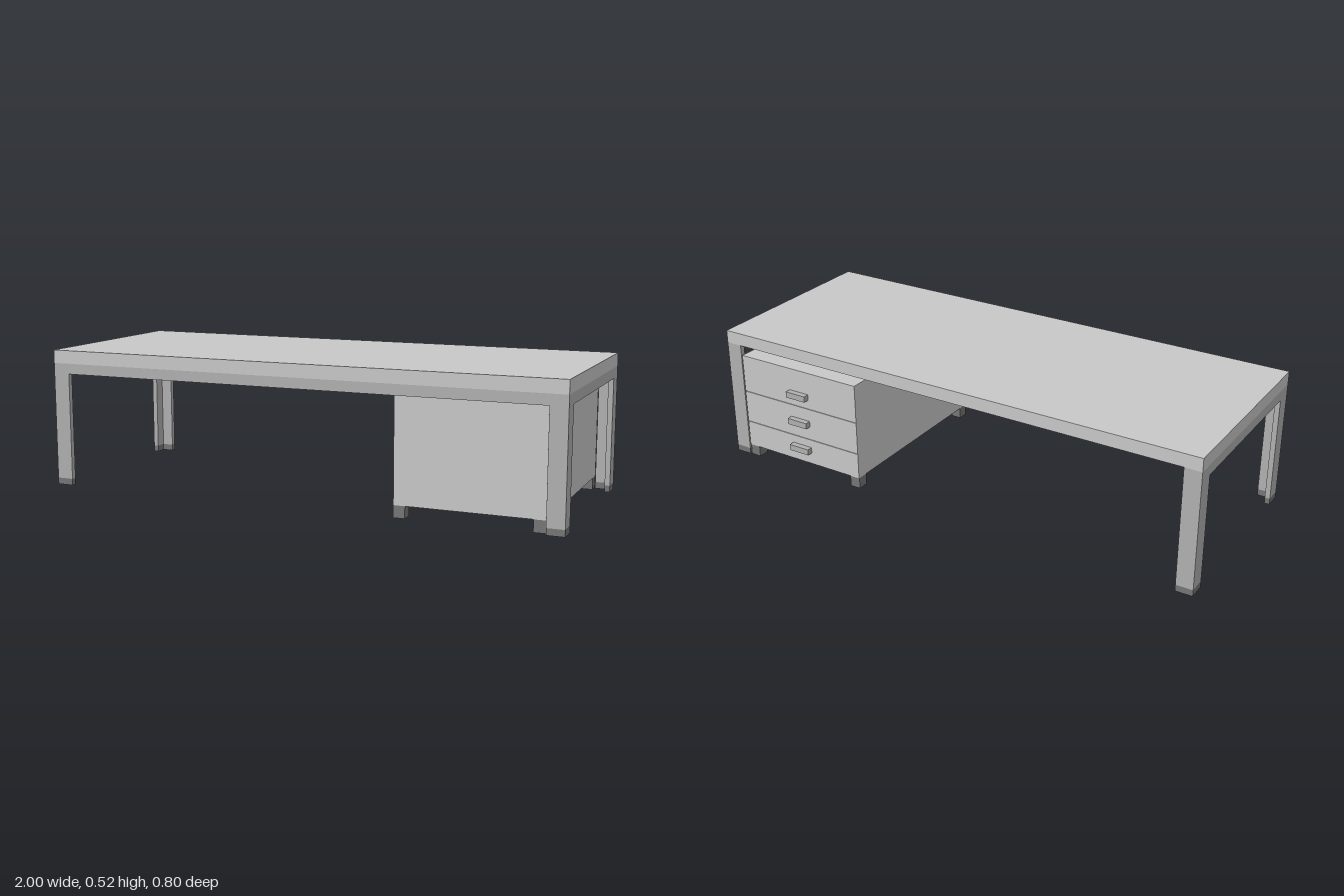
import * as THREE from 'three';

const mat = (name, color) => {
  const m = new THREE.MeshStandardMaterial({ color });
  m.name = name;
  return m;
};

// Desk outline
const X = 1, ZF = 0.4, ZB = -0.375, LEG = 0.065, T = 0.02;

export function createModel() {
  const desk = new THREE.Group();
  desk.name = 'desk';
  const light = mat('lightGrey', 0xc8c8c8);
  const frame = mat('frameGrey', 0xb0b0b0);
  const dark = mat('darkGrey', 0x757575);

  // Box given by its minimum and maximum corners
  function box(name, material, [x0, y0, z0], [x1, y1, z1], parent = desk) {
    const mesh = new THREE.Mesh(new THREE.BoxGeometry(x1 - x0, y1 - y0, z1 - z0), material);
    mesh.position.set((x0 + x1) / 2, (y0 + y1) / 2, (z0 + z1) / 2);
    mesh.name = name;
    parent.add(mesh);
    return mesh;
  }

  // Upright L-shaped angle with its outer corner at (x, z), opening inwards
  function angle(name, material, x, z, y0, y1) {
    const sx = -Math.sign(x), sz = -Math.sign(z);
    const outline = [[0, 0], [LEG, 0], [LEG, T], [T, T], [T, LEG], [0, LEG]]
      .map(([a, b]) => new THREE.Vector2(x + sx * a, -(z + sz * b)));
    const geo = new THREE.ExtrudeGeometry(new THREE.Shape(outline), { depth: y1 - y0, bevelEnabled: false });
    geo.rotateX(-Math.PI / 2);
    geo.translate(0, y0, 0);
    const mesh = new THREE.Mesh(geo, material);
    mesh.name = name;
    desk.add(mesh);
  }

  // Worktop
  box('worktop', light, [-X, 0.475, ZB], [X, 0.525, ZF]);

  // Angle legs with dark feet
  for (const x of [-X, X]) {
    for (const z of [ZB, ZF]) {
      angle('leg', frame, x, z, 0.025, 0.475);
      angle('legFoot', dark, x, z, 0, 0.025);
    }
  }

  // Aprons on the front and both sides; the back stays open
  box('frontApron', frame, [-X + LEG, 0.435, ZF - T], [X - LEG, 0.475, ZF]);
  for (const s of [-1, 1]) {
    const a = s * X, b = s * (X - T);
    box('sideApron', frame, [Math.min(a, b), 0.435, ZB + LEG], [Math.max(a, b), 0.475, ZF - LEG]);
  }

  // Drawer pedestal, opening towards the back
  const pedestal = new THREE.Group();
  pedestal.name = 'pedestal';
  desk.add(pedestal);
  const px0 = 0.387, px1 = 0.93, pz0 = ZB + 0.003, pz1 = ZF - T;
  box('pedestalBody', light, [px0, 0.045, pz0], [px1, 0.435, pz1], pedestal);

  // Pedestal feet
  const F = 0.043;
  for (const x of [px0, px1 - F]) {
    for (const z of [pz0, pz1 - F]) {
      box('pedestalFoot', dark, [x, 0, z], [x + F, 0.045, z + F], pedestal);
    }
  }

  // Drawer fronts and handles: bottom edge, top edge, handle height
  const drawers = [[0.045, 0.149, 0.104], [0.151, 0.281, 0.218], [0.283, 0.435, 0.332]];
  for (const [y0, y1, h] of drawers) {
    box('drawerFront', light, [px0, y0, ZB], [px1, y1, pz0], pedestal);
    box('drawerHandle', frame, [0.613, h - 0.012, -0.398], [0.702, h + 0.012, ZB], pedestal);
  }

  return desk;
}
